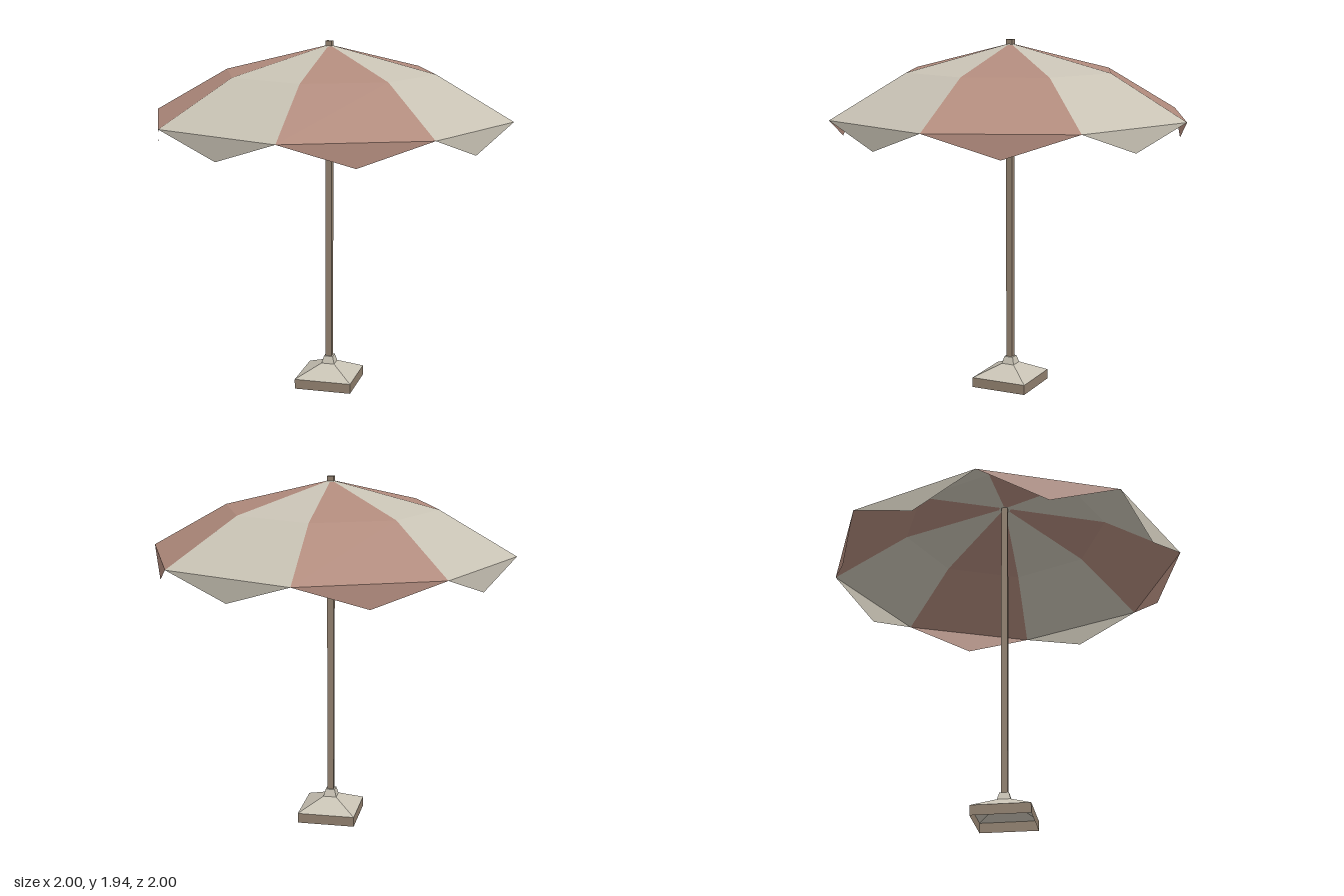
import * as THREE from 'three';

const mat = (name, color) => new THREE.MeshStandardMaterial({
  name, color, flatShading: true, side: THREE.DoubleSide,
});

export function createModel() {
  const beige = mat('beige', 0xc8c2b4);
  const pink = mat('dusty pink', 0xb08a7c);
  const brown = mat('brown', 0x92816f);
  const group = new THREE.Group();
  group.name = 'parasol';

  // Four-sided column with its corners on the axes
  const column = (name, rTop, rBottom, y0, y1, material, open = true) => {
    const geo = new THREE.CylinderGeometry(rTop, rBottom, y1 - y0, 4, 1, open);
    const mesh = new THREE.Mesh(geo, material);
    mesh.name = name;
    mesh.position.y = (y0 + y1) / 2;
    group.add(mesh);
  };

  // Hollow stand and pole
  column('standRim', 0.226, 0.226, 0, 0.055, brown);
  column('standSlope', 0.052, 0.226, 0.055, 0.12, beige);
  column('standCollar', 0.036, 0.052, 0.12, 0.16, beige);
  column('standCollarTop', 0.02, 0.036, 0.16, 0.161, beige);
  column('pole', 0.025, 0.025, 0.15, 1.938, brown, false);

  // Canopy rings from the crown outward: [radius, height]
  const rings = [[0.035, 1.908], [0.583, 1.772], [1, 1.535]];
  const crown = new THREE.Vector3(0, 1.917, 0);
  const flapLow = 1.41;
  const sides = 8;
  const point = ([r, y], i) => {
    const a = (i / sides) * Math.PI * 2;
    return new THREE.Vector3(r * Math.cos(a), y, r * Math.sin(a));
  };
  const addFaces = (name, points, material) => {
    const geo = new THREE.BufferGeometry().setFromPoints(points);
    geo.computeVertexNormals();
    const mesh = new THREE.Mesh(geo, material);
    mesh.name = name;
    group.add(mesh);
  };

  const crownFaces = [];
  for (let i = 0; i < sides; i++) {
    const [a, b, c] = rings.map((ring) => [point(ring, i), point(ring, i + 1)]);
    crownFaces.push(crown, a[1], a[0]);

    // Alternating panel, sloping in two steps
    const material = i % 2 ? beige : pink;
    const faces = [];
    for (const [inner, outer] of [[a, b], [b, c]]) {
      faces.push(inner[0], inner[1], outer[1], inner[0], outer[1], outer[0]);
    }
    addFaces('canopyPanel', faces, material);

    // Pointed flap hanging from the panel's edge
    const tip = c[0].clone().lerp(c[1], 0.5).setY(flapLow);
    addFaces('canopyFlap', [c[0], c[1], tip], material);
  }
  addFaces('canopyCrown', crownFaces, beige);

  return group;
}
